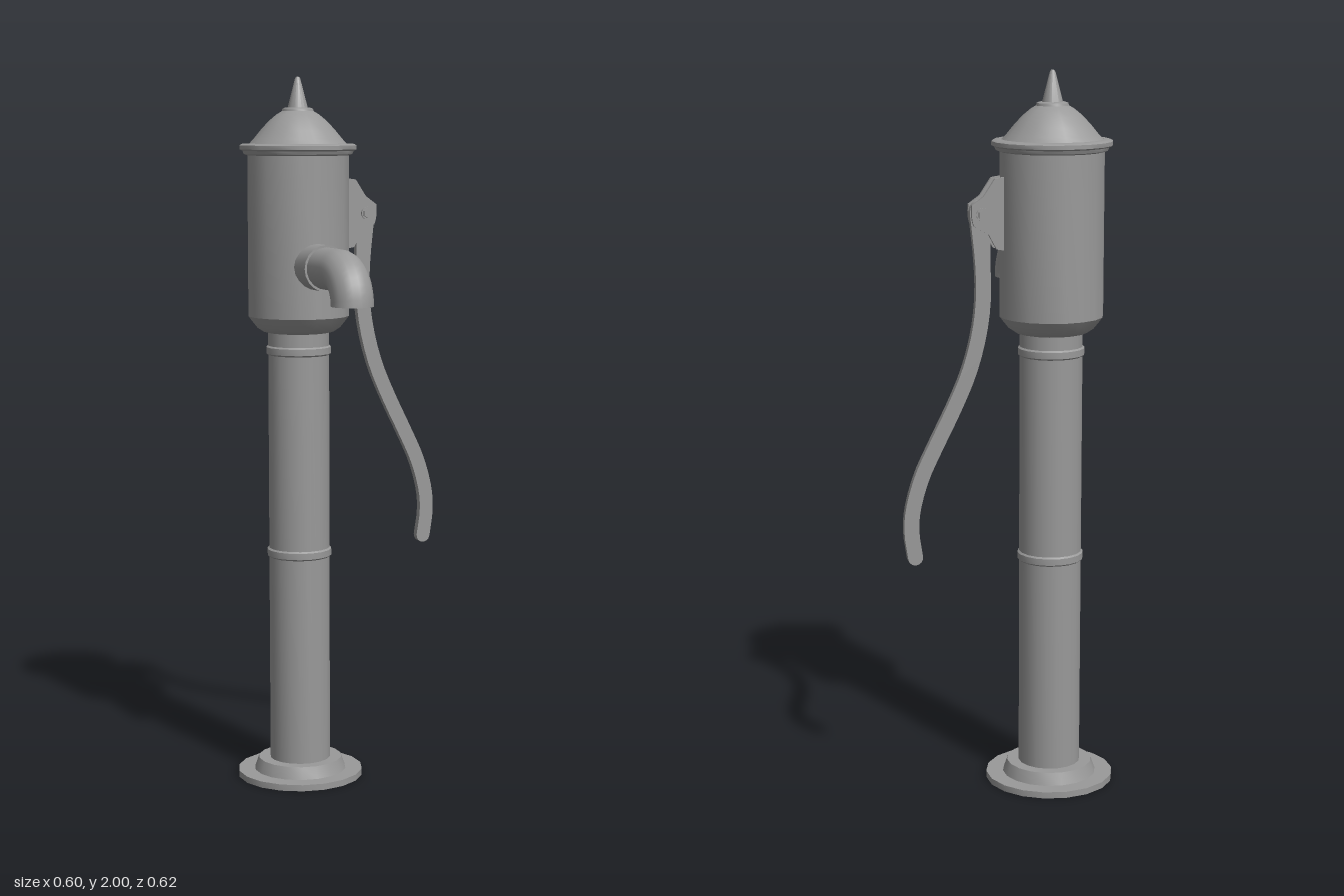
import * as THREE from 'three';
import { toCreasedNormals } from 'three/addons/utils/BufferGeometryUtils.js';

const material = new THREE.MeshStandardMaterial({ color: 0x999999, side: THREE.DoubleSide });
const SIDES = 18;
const AXIS_X = -0.121, AXIS_Z = -0.13;

function add(parent, name, geometry, x = 0, y = 0, z = 0) {
  const mesh = new THREE.Mesh(toCreasedNormals(geometry, 0.6), material);
  mesh.name = name;
  mesh.position.set(x, y, z);
  parent.add(mesh);
  return mesh;
}

// Surface of revolution from [radius, height] pairs
function turned(parent, name, profile) {
  const points = profile.map(([r, y]) => new THREE.Vector2(r, y));
  return add(parent, name, new THREE.LatheGeometry(points, SIDES), AXIS_X, 0, AXIS_Z);
}

// Flat plate of a given thickness, centred on the pump axis in z
function plate(parent, name, shape, thickness, z = 0) {
  const geometry = new THREE.ExtrudeGeometry(shape, { depth: thickness, bevelEnabled: false, curveSegments: 8 });
  geometry.translate(0, 0, -thickness / 2);
  return add(parent, name, geometry, 0, 0, AXIS_Z + z);
}

// Ribbon outline around a curve, with round ends
function ribbon(curve, halfWidth) {
  const n = 28, left = [], right = [], caps = [[], []];
  for (let i = 0; i <= n; i++) {
    const t = i / n, p = curve.getPoint(t), d = curve.getTangent(t), w = halfWidth(t);
    left.push(new THREE.Vector2(p.x - d.y * w, p.y + d.x * w));
    right.push(new THREE.Vector2(p.x + d.y * w, p.y - d.x * w));
  }
  [0, 1].forEach((t) => {
    const p = curve.getPoint(t), d = curve.getTangent(t), w = halfWidth(t);
    const start = Math.atan2(d.y, d.x) + (t ? 1 : -1) * Math.PI / 2;
    for (let k = 1; k < 7; k++) {
      const a = start - k * Math.PI / 7;
      caps[t].push(new THREE.Vector2(p.x + w * Math.cos(a), p.y + w * Math.sin(a)));
    }
  });
  return new THREE.Shape([...left, ...caps[1], ...right.reverse(), ...caps[0]]);
}

export function createModel() {
  const pump = new THREE.Group();
  pump.name = 'handPump';

  // Foot and column, open underneath
  turned(pump, 'foot', [[0.18, 0], [0.18, 0.018], [0.132, 0.018], [0.12, 0.052], [0.086, 0.052]]);
  turned(pump, 'column', [[0.087, 0.045], [0.087, 1.3]]);
  for (const y of [0.658, 1.238]) {
    turned(pump, 'columnBand', [[0.086, y - 0.014], [0.092, y - 0.009], [0.092, y + 0.009], [0.086, y + 0.014]]);
  }

  // Barrel with an edge above its tapered underside
  turned(pump, 'barrel', [[0.086, 1.288], [0.1, 1.291], [0.118, 1.303], [0.134, 1.323], [0.143, 1.335], [0.143, 1.79]]);

  // Cap: rolled rim, dome and pointed finial
  turned(pump, 'capRim', [[0.142, 1.783], [0.153, 1.787], [0.157, 1.796], [0.165, 1.8],
    [0.165, 1.811], [0.158, 1.815], [0.139, 1.816]]);
  turned(pump, 'dome', [[0.139, 1.814], [0.125, 1.829], [0.106, 1.852], [0.082, 1.878], [0.06, 1.896],
    [0.045, 1.905], [0.043, 1.912], [0.035, 1.915], [0.028, 1.915]]);
  turned(pump, 'finial', [[0.029, 1.912], [0.008, 1.993], [0.005, 1.999], [0, 2]]);

  // Spout: collar, straight run and elbow
  const collar = [[0.064, -0.02], [0.064, 0.072], [0.055, 0.072]].map(([r, y]) => new THREE.Vector2(r, y));
  add(pump, 'spoutCollar', new THREE.LatheGeometry(collar, 20), AXIS_X, 1.48, 0).rotation.x = Math.PI / 2;
  const path = new THREE.CurvePath();
  const p = (y, z) => new THREE.Vector3(0, y, z);
  path.add(new THREE.LineCurve3(p(1.48, -0.01), p(1.48, 0.16)));
  path.add(new THREE.CubicBezierCurve3(p(1.48, 0.16), p(1.48, 0.21), p(1.44, 0.249), p(1.39, 0.249)));
  add(pump, 'spout', new THREE.TubeGeometry(path, 24, 0.058, 18, false), AXIS_X, 0, 0);

  // Two bracket cheeks either side of the lever
  const cheek = new THREE.Shape();
  cheek.moveTo(0.01, 1.52);
  cheek.lineTo(0.04, 1.525);
  cheek.lineTo(0.062, 1.565);
  cheek.lineTo(0.102, 1.588);
  cheek.quadraticCurveTo(0.112, 1.61, 0.108, 1.645);
  cheek.lineTo(0.076, 1.668);
  cheek.lineTo(0.045, 1.715);
  cheek.lineTo(0.01, 1.72);
  for (const side of [-1, 1]) {
    plate(pump, 'bracketCheek', cheek, 0.01, side * 0.02);
    // Bolt head on a washer
    for (const [name, r, h, z, sides] of [['washer', 0.018, 0.004, 0.027, 14], ['boltHead', 0.014, 0.008, 0.031, 6]]) {
      add(pump, name, new THREE.CylinderGeometry(r, r, h, sides), 0.079, 1.62, AXIS_Z + side * z).rotation.x = Math.PI / 2;
    }
  }
  add(pump, 'pivotPin', new THREE.CylinderGeometry(0.009, 0.009, 0.07, 12), 0.079, 1.62, AXIS_Z).rotation.x = Math.PI / 2;

  // Swept lever, wider at the pivot
  const leverPath = new THREE.CatmullRomCurve3([
    [0.079, 1.625], [0.077, 1.53], [0.073, 1.4], [0.084, 1.3], [0.113, 1.19], [0.156, 1.09],
    [0.206, 0.99], [0.248, 0.9], [0.273, 0.81], [0.277, 0.75], [0.267, 0.676],
  ].map(([x, y]) => new THREE.Vector3(x, y, 0)));
  plate(pump, 'lever', ribbon(leverPath, (t) => 0.021 + 0.011 * Math.max(0, 1 - t * 8)), 0.02);

  return pump;
}
